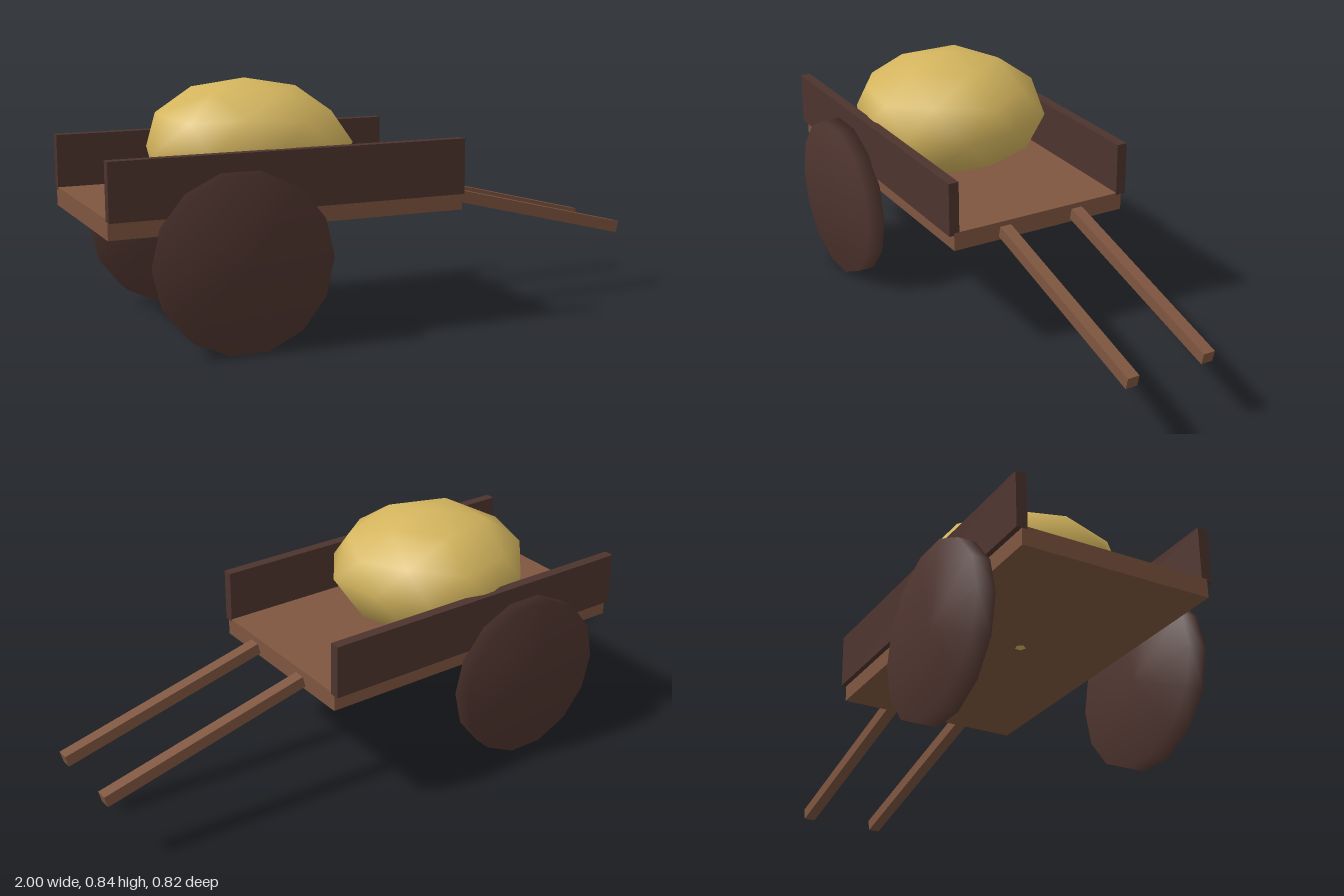
import * as THREE from 'three';
import { mergeVertices } from 'three/addons/utils/BufferGeometryUtils.js';

const material = (name, color) => Object.assign(new THREE.MeshStandardMaterial({ color }), { name });

// Weld shared corners so the shading runs smoothly over the whole shape
function smooth(geometry) {
  geometry.deleteAttribute('normal');
  geometry.deleteAttribute('uv');
  const welded = mergeVertices(geometry, 1e-4);
  welded.computeVertexNormals();
  return welded;
}

// Rounded sack: an icosphere standing on a corner, with an uneven waist
function loadGeometry() {
  const waist = [1.05, 1.08, 0.985, 1.03, 1.06, 0.94, 0.98, 1.03, 1.07, 0.95];
  const geometry = new THREE.IcosahedronGeometry(1, 1);
  geometry.rotateZ(-Math.atan(2 / (1 + Math.sqrt(5))));
  const p = geometry.attributes.position;
  for (let i = 0; i < p.count; i++) {
    let x = p.getX(i), z = p.getZ(i);
    if (Math.abs(p.getY(i)) < 0.01) {
      const turn = (Math.atan2(z, x) * 180 / Math.PI + 360) % 360;
      const k = waist[Math.round((turn - 18) / 36) % 10];
      x *= k;
      z *= k;
    } else {
      z *= 1.08;
    }
    p.setX(i, x);
    p.setZ(i, z);
  }
  geometry.scale(0.355, 0.226, 0.33);
  return smooth(geometry);
}

export function createModel() {
  const cart = new THREE.Group();
  cart.name = 'handcart';
  const wood = material('wood', 0x7f5640);
  const darkWood = material('dark wood', 0x4e342e);
  const straw = material('straw yellow', 0xd4b55e);

  const add = (name, geometry, mat, x, y, z) => {
    const mesh = new THREE.Mesh(geometry, mat);
    mesh.name = name;
    mesh.position.set(x, y, z);
    cart.add(mesh);
    return mesh;
  };

  // Bed and load
  add('bed', new THREE.BoxGeometry(1.23, 0.065, 0.666), wood, -0.385, 0.421, 0);
  add('load', loadGeometry(), straw, -0.43, 0.611, 0);

  // Side boards, wheels and sloping handles, one on each side
  const wheel = smooth(new THREE.CylinderGeometry(0.295, 0.295, 0.065, 14)
    .rotateY(Math.PI / 2).rotateX(Math.PI / 2));
  for (const [side, s] of [['front', 1], ['back', -1]]) {
    add(side + 'SideBoard', new THREE.BoxGeometry(1.23, 0.19, 0.037), darkWood, -0.385, 0.54, s * 0.332);
    add(side + 'Wheel', wheel, darkWood, -0.575, 0.288, s * 0.38);
    const handle = add(side + 'Handle', new THREE.BoxGeometry(0.783, 0.042, 0.042), wood, 0.615, 0.326, s * 0.142);
    handle.rotation.z = -Math.atan2(0.19, 0.76);
  }
  return cart;
}
